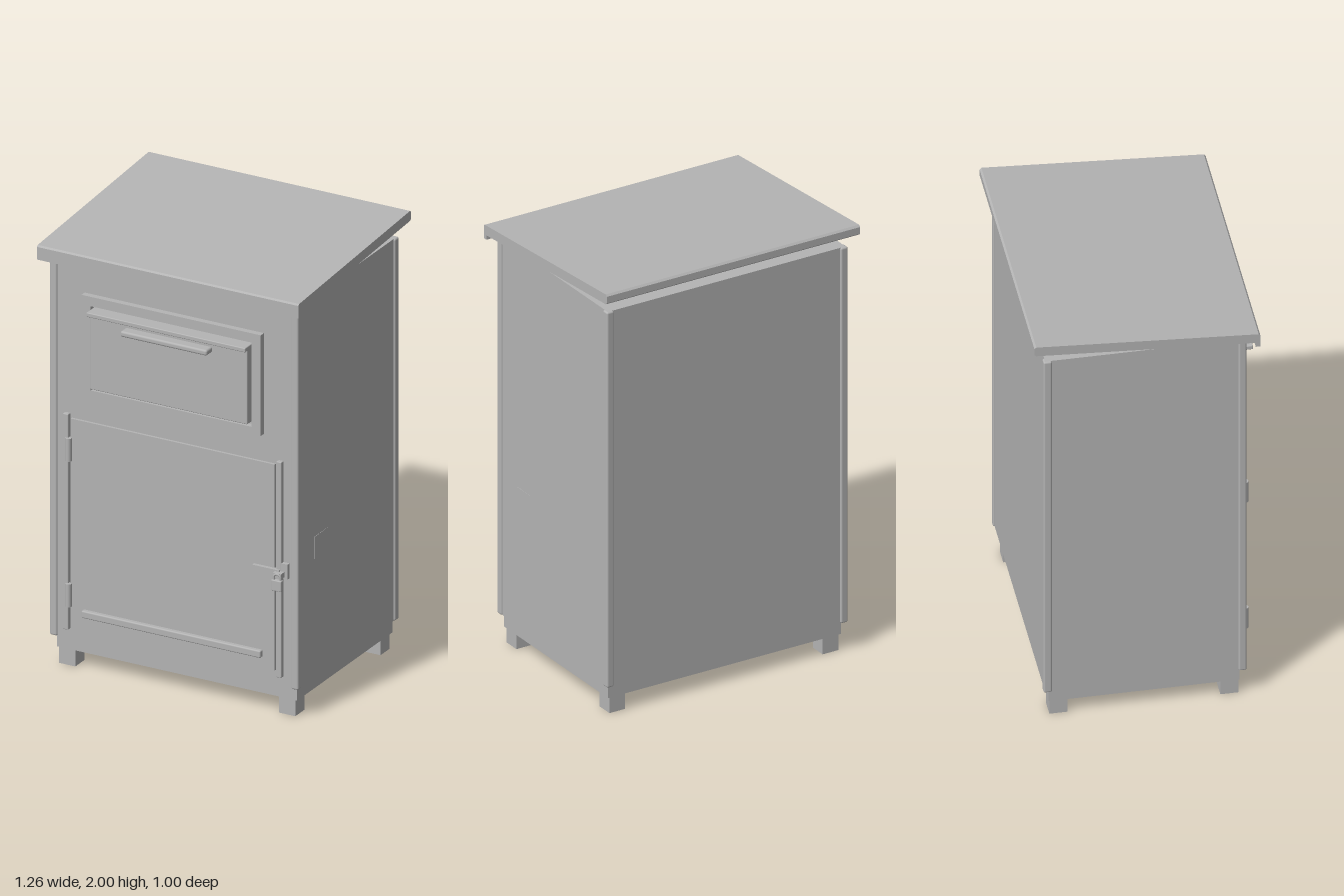
import * as THREE from 'three';
import { RoundedBoxGeometry } from 'three/addons/geometries/RoundedBoxGeometry.js';

export function createModel() {
  const model = new THREE.Group();
  model.name = 'cabinet';
  const paint = new THREE.MeshStandardMaterial({ color: 0xb4b4b4 });
  paint.name = 'grey metal';

  const add = (name, geometry, parent = model) => {
    const mesh = new THREE.Mesh(geometry, paint);
    mesh.name = name;
    parent.add(mesh);
    return mesh;
  };

  // Box given by its limits on each axis, with optional rounded edges
  const box = (name, [x0, x1], [y0, y1], [z0, z1], radius = 0, parent = model) => {
    const size = [x1 - x0, y1 - y0, z1 - z0];
    const geometry = radius
      ? new RoundedBoxGeometry(...size, 2, radius)
      : new THREE.BoxGeometry(...size);
    const mesh = add(name, geometry, parent);
    mesh.position.set((x0 + x1) / 2, (y0 + y1) / 2, (z0 + z1) / 2);
    return mesh;
  };

  // Body, plinth, corner posts and feet
  box('body', [-0.592, 0.592], [0.135, 1.89], [-0.447, 0.407]);
  box('plinth', [-0.58, 0.58], [0.075, 0.135], [-0.43, 0.387]);
  for (const side of [-1, 1]) {
    const postX = side < 0 ? [-0.6, -0.565] : [0.565, 0.6];
    const footX = side < 0 ? [-0.57, -0.492] : [0.492, 0.57];
    box('frontPost', postX, [0.135, 1.89], [0.38, 0.415], 0.008);
    box('backPost', postX, [0.135, 1.89], [-0.455, -0.418], 0.008);
    box('frontFoot', footX, [0, 0.075], [0.307, 0.385]);
    box('backFoot', footX, [0, 0.075], [-0.425, -0.347]);
  }

  // Sloping roof with a lip folded down at the front
  const roofShape = new THREE.Shape([
    [0.467, 1.872], [0.467, 1.93], [0.46, 1.937], [-0.492, 2], [-0.5, 1.992],
    [-0.5, 1.961], [-0.492, 1.954], [0.447, 1.893], [0.447, 1.872],
  ].map(([z, y]) => new THREE.Vector2(-z, y)));
  const roof = new THREE.ExtrudeGeometry(roofShape, { depth: 1.262, bevelEnabled: false });
  roof.rotateY(Math.PI / 2).translate(-0.631, 0, 0);
  add('roof', roof);

  // Hatch frame with a rectangular opening
  const rectangle = (Type, x0, x1, y0, y1) => new Type([
    new THREE.Vector2(x0, y0), new THREE.Vector2(x1, y0),
    new THREE.Vector2(x1, y1), new THREE.Vector2(x0, y1),
  ]);
  const frameShape = rectangle(THREE.Shape, -0.434, 0.431, 1.277, 1.74);
  frameShape.holes.push(rectangle(THREE.Path, -0.39, 0.387, 1.31, 1.697));
  const frame = new THREE.ExtrudeGeometry(frameShape, { depth: 0.035, bevelEnabled: false });
  frame.translate(0, 0, 0.4);
  add('hatchFrame', frame);

  // Hatch flap, its rain ledge and pull handle
  box('hatchFlap', [-0.38, 0.377], [1.325, 1.67], [0.4, 0.455], 0.004);
  box('hatchLedge', [-0.385, 0.382], [1.667, 1.687], [0.4, 0.482], 0.004);
  box('hatchHandle', [-0.21, 0.208], [1.621, 1.647], [0.45, 0.503], 0.009);

  // Lower door with side rails, hinges and bottom bar
  box('door', [-0.495, 0.489], [0.205, 1.152], [0.4, 0.419]);
  box('hingeRail', [-0.53, -0.504], [0.18, 1.172], [0.4, 0.426], 0.004);
  box('latchRail', [0.5, 0.525], [0.18, 1.172], [0.4, 0.426], 0.004);
  for (const y of [0.343, 1.012]) {
    const hinge = add('hinge', new THREE.CylinderGeometry(0.014, 0.014, 0.105, 16));
    hinge.position.set(-0.502, y, 0.426);
  }
  box('doorBar', [-0.434, 0.431], [0.256, 0.289], [0.41, 0.439], 0.006);

  // Hasp and padlock
  const lock = new THREE.Group();
  lock.name = 'lock';
  model.add(lock);
  box('haspPlate', [0.523, 0.555], [0.64, 0.708], [0.405, 0.425], 0, lock);
  box('haspArm', [0.39, 0.52], [0.642, 0.678], [0.415, 0.436], 0, lock);
  box('haspTab', [0.5, 0.54], [0.648, 0.672], [0.425, 0.455], 0, lock);
  box('padlock', [0.5, 0.549], [0.597, 0.646], [0.45, 0.471], 0.004, lock);
  const shackle = add('shackle', new THREE.TorusGeometry(0.016, 0.005, 8, 16, Math.PI), lock);
  shackle.position.set(0.524, 0.655, 0.46);
  for (const side of [-1, 1]) {
    const leg = add('shackleLeg', new THREE.CylinderGeometry(0.005, 0.005, 0.02, 8), lock);
    leg.position.set(0.524 + side * 0.016, 0.648, 0.46);
  }

  // Small slanted plate let into the left side
  const plate = box('sidePlate', [0.587, 0.593], [0.68, 0.782], [0.1, 0.26]);
  plate.rotation.y = 0.015;

  return model;
}
